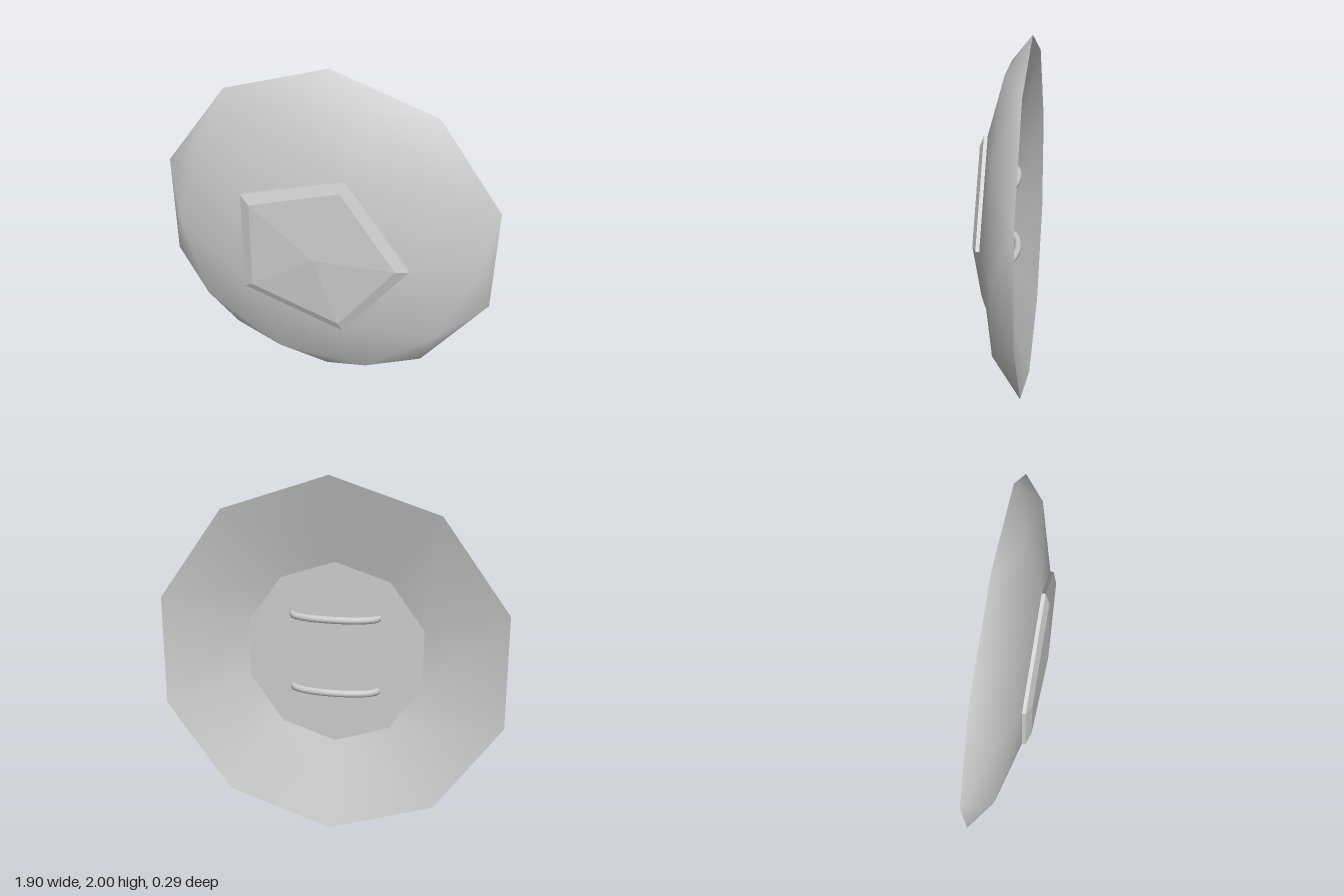
import * as THREE from 'three';

const grey = (options = {}) => new THREE.MeshStandardMaterial({ color: 0xcccccc, ...options });
const RIM_Z = -0.145, FLOOR_Z = 0.007;

function part(name, geometry, material) {
  const mesh = new THREE.Mesh(geometry, material);
  mesh.name = name;
  return mesh;
}

// Outer face: a flattened geodesic cap of 5, 10 and 10 points, facing +z
function domeGeometry() {
  const positions = [], index = [];
  const point = (r, degrees, z) => {
    const a = THREE.MathUtils.degToRad(degrees);
    positions.push(r * Math.cos(a), r * Math.sin(a), z);
  };
  for (let k = 0; k < 5; k++) point(0.526, 72 * k, 0.072);
  for (let j = 0; j < 10; j++) {
    if (j % 2) point(0.851, 36 * j, -0.01);
    else point(0.894, 36 * j, -0.03);
  }
  for (let j = 0; j < 10; j++) point(1, 36 * j + 18, RIM_Z);

  const inner = k => k % 5;
  const middle = j => 5 + (j + 10) % 10;
  const outer = j => 15 + (j + 10) % 10;
  for (let k = 0; k < 5; k++) {
    index.push(inner(k), middle(2 * k - 1), middle(2 * k));
    index.push(inner(k), middle(2 * k), middle(2 * k + 1));
    index.push(inner(k), middle(2 * k + 1), inner(k + 1));
  }
  for (let j = 0; j < 10; j++) {
    index.push(middle(j), outer(j - 1), outer(j));
    index.push(middle(j), outer(j), middle(j + 1));
  }
  const geometry = new THREE.BufferGeometry();
  geometry.setAttribute('position', new THREE.Float32BufferAttribute(positions, 3));
  geometry.setIndex(index);
  geometry.computeVertexNormals();
  return geometry;
}

export function createModel() {
  const shield = new THREE.Group();
  shield.name = 'shield';
  const body = new THREE.Group();
  body.name = 'shieldBody';
  body.position.y = 1;
  shield.add(body);

  body.add(part('outerFace', domeGeometry(), grey()));

  // Raised five-sided boss with a bevelled edge and a shallow point
  const profile = [[0.526, 0.068], [0.526, 0.092], [0.457, 0.117], [0, 0.145]]
    .map(([r, z]) => new THREE.Vector2(r, z));
  const boss = new THREE.LatheGeometry(profile, 5, Math.PI / 2);
  boss.rotateX(Math.PI / 2);
  body.add(part('boss', boss, grey({ flatShading: true })));

  // Hollow back: sloping wall and flat floor
  const depth = FLOOR_Z - RIM_Z;
  const wall = new THREE.CylinderGeometry(0.52, 1, depth, 10, 1, true);
  wall.rotateX(Math.PI / 2);
  wall.translate(0, 0, RIM_Z + depth / 2);
  body.add(part('innerWall', wall, grey({ side: THREE.DoubleSide })));

  const floor = new THREE.CircleGeometry(0.52, 10, Math.PI / 10);
  floor.rotateY(Math.PI);
  floor.translate(0, 0, FLOOR_Z);
  body.add(part('innerFloor', floor, grey()));

  // Two bowed grips across the back
  const bow = [];
  for (let i = 0; i <= 10; i++) {
    const a = Math.PI * i / 10;
    bow.push(new THREE.Vector3(0.24 * Math.cos(a), 0, FLOOR_Z + 0.005 - 0.085 * Math.sin(a)));
  }
  const grip = new THREE.TubeGeometry(new THREE.CatmullRomCurve3(bow), 20, 0.02, 10);
  for (const y of [0.215, -0.205]) {
    const mesh = part(y > 0 ? 'upperGrip' : 'lowerGrip', grip, grey());
    mesh.position.y = y;
    body.add(mesh);
  }
  return shield;
}
